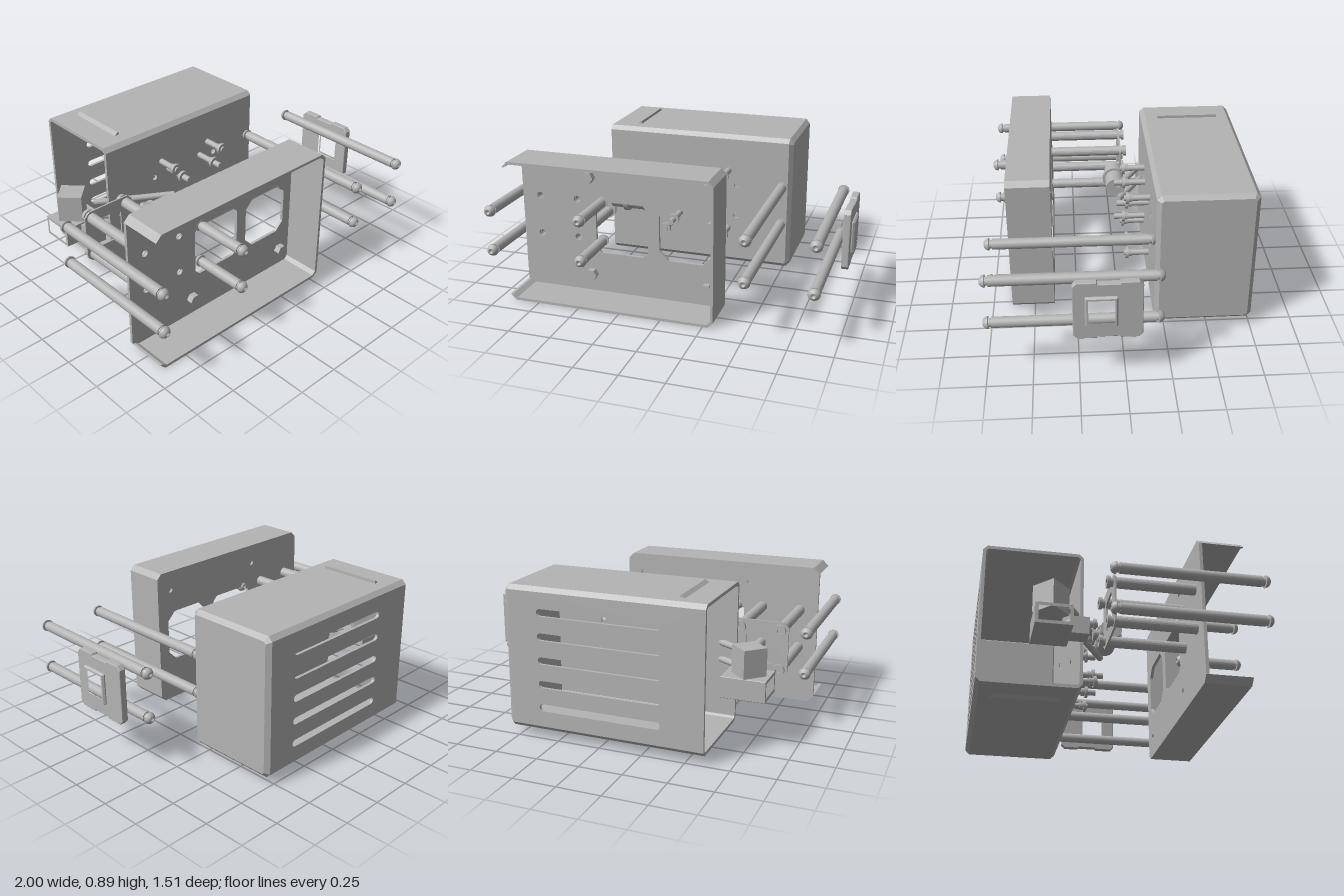
import * as THREE from 'three';

export function createModel() {
  const model = new THREE.Group();
  model.name = 'explodedEnclosure';
  const gray = new THREE.MeshStandardMaterial({ color: 0xb4b4b4 });
  gray.name = 'plain gray';

  const add = (name, geo, parent = model) => {
    const m = new THREE.Mesh(geo, gray);
    m.name = name;
    parent.add(m);
    return m;
  };
  const group = (name) => {
    const g = new THREE.Group();
    g.name = name;
    model.add(g);
    return g;
  };
  const V = (pts) => pts.map(([x, y]) => new THREE.Vector2(x, y));
  const poly = (pts) => new THREE.Shape(V(pts));

  // rectangle with cut corners
  const cutRect = (x0, x1, y0, y1, c) => [
    [x0 + c, y0], [x1 - c, y0], [x1, y0 + c], [x1, y1 - c],
    [x1 - c, y1], [x0 + c, y1], [x0, y1 - c], [x0, y0 + c]];
  const circle = (x, y, r, n = 20) => Array.from({ length: n }, (_, i) => {
    const a = i / n * Math.PI * 2;
    return [x + r * Math.cos(a), y + r * Math.sin(a)];
  });
  // horizontal slot with round ends
  const slot = (x0, x1, y, r) => {
    const p = [];
    for (let i = 0; i <= 8; i++) {
      const a = -Math.PI / 2 + i / 8 * Math.PI;
      p.push([x1 - r + r * Math.cos(a), y + r * Math.sin(a)]);
    }
    return p.concat(p.map(([x, yy]) => [x0 + x1 - x, 2 * y - yy]));
  };
  // flat outline extruded along z, with holes
  const slabZ = (pts, z0, z1, holes = []) => {
    const s = poly(pts);
    holes.forEach((h) => s.holes.push(new THREE.Path(V(h))));
    return new THREE.ExtrudeGeometry(s, { depth: z1 - z0, bevelEnabled: false }).translate(0, 0, z0);
  };
  // outline given as (z, y), extruded along x
  const slabX = (pts, x0, x1, holes = [], bevel = null) => {
    const s = poly(pts.map(([z, y]) => [-z, y]));
    holes.forEach((h) => s.holes.push(new THREE.Path(V(h.map(([z, y]) => [-z, y])))));
    return new THREE.ExtrudeGeometry(s, { depth: x1 - x0, bevelEnabled: false, ...bevel })
      .rotateY(Math.PI / 2).translate(x0, 0, 0);
  };
  const rodZ = (x, y, z0, z1, r, n = 24) =>
    new THREE.CylinderGeometry(r, r, z1 - z0, n).rotateX(Math.PI / 2).translate(x, y, (z0 + z1) / 2);
  const rodX = (y, z, x0, x1, r, n = 32) =>
    new THREE.CylinderGeometry(r, r, x1 - x0, n).rotateZ(Math.PI / 2).translate((x0 + x1) / 2, y, z);
  const domeGeo = () => new THREE.LatheGeometry(
    V([[0, 0], [0.034, 0], [0.034, 0.006], [0.028, 0.02], [0.017, 0.029], [0.011, 0.03], [0.009, 0.02], [0, 0.02]]), 24);

  // front tray: rear plate with three walls, open at one end
  const tray = group('frontTray');
  const T = [[-0.93, 0.825], [-0.895, 0.86], [0.28, 0.86], [0.31, 0.83], [0.31, 0.04],
    [0.28, 0.01], [-0.895, 0.01], [-0.93, 0.045]];
  const inner = [[-0.915, 0.045], [-0.888, 0.026], [0.273, 0.026], [0.294, 0.047], [0.294, 0.823],
    [0.273, 0.844], [-0.888, 0.844], [-0.915, 0.825]];
  add('trayWalls', slabZ([...T, ...inner], 0.386, 0.635), tray);
  const hexSpots = [-0.5, 0.21].flatMap((x) => [0.135, 0.74].map((y) => [x, y]));
  const postSpots = [-0.82, -0.585].flatMap((x) => [0.358, 0.593].map((y) => [x, y]));
  add('trayPlate', slabZ(T, 0.384, 0.402, [
    cutRect(-0.47, -0.15, 0.275, 0.595, 0.03), cutRect(-0.08, 0.235, 0.275, 0.595, 0.055),
    ...hexSpots.map(([x, y]) => circle(x, y, 0.016)),
    ...postSpots.map(([x, y]) => circle(x, y, 0.02))]), tray);
  for (const [x, y] of hexSpots) add('hexBoss', slabZ(circle(x, y, 0.035, 6), 0.4, 0.44), tray);

  // standoffs and their linking frame behind the tray
  const stand = group('standoffFrame');
  for (const [x, y] of postSpots) {
    add('standoff', slabZ(circle(x, y, 0.031), -0.06, 0.385, [circle(x, y, 0.018)]), stand);
    add('standoffNeck', rodZ(x, y, -0.09, -0.06, 0.026), stand);
    add('standoffHead', slabZ(circle(x, y, 0.035), -0.103, -0.085, [circle(x, y, 0.015)]), stand);
  }
  add('framePlate', slabZ(cutRect(-0.865, -0.54, 0.315, 0.635, 0.03), -0.068, -0.058,
    [cutRect(-0.785, -0.62, 0.385, 0.565, 0.02)]), stand);

  // long screws with a domed head at each end
  const screw = (x, y, z0, z1) => {
    const g = group('longScrew');
    add('screwShaft', rodZ(x, y, z0 + 0.045, z1 - 0.045, 0.03), g);
    add('screwNeck', rodZ(x, y, z0 + 0.02, z1 - 0.02, 0.024), g);
    add('screwHeadFront', domeGeo().rotateX(Math.PI / 2).translate(x, y, z1 - 0.03), g);
    add('screwHeadBack', domeGeo().rotateX(-Math.PI / 2).translate(x, y, z0 + 0.03), g);
  };
  for (const y of [0.355, 0.592]) {
    screw(-0.97, y, -0.11, 0.752);
    screw(0.505, y, -0.2, 0.752);
    screw(-0.427, y, 0.375, 0.752);
  }
  for (const y of [0.342, 0.608]) screw(0.875, y, -0.208, 0.752);

  // rear housing, open at one end
  const box = group('rearHousing');
  const top = [[-0.755, 0.86], [-0.73, 0.885], [-0.215, 0.885], [-0.19, 0.86],
    [-0.208, 0.855], [-0.222, 0.866], [-0.723, 0.866], [-0.737, 0.855]];
  const flip = (pts) => pts.map(([z, y]) => [z, 0.945 - y]);
  add('housingTop', slabX(top, -0.605, 0.535), box);
  add('housingBottom', slabX(flip(top), -0.605, 0.535), box);
  const panel = [[-0.605, 0.085], [0.535, 0.085], [0.535, 0.86], [-0.605, 0.86]];
  const pinHoles = [-0.26, 0.217].flatMap((x) => [0.372, 0.572].map((y) => circle(x, y, 0.018)));
  add('housingFront', slabZ(panel, -0.208, -0.19, pinHoles), box);
  const vents = [-2, -1, 0, 1, 2].map((i) => slot(-0.36, 0.36, 0.472 + i * 0.137, 0.021));
  add('housingBack', slabZ(panel, -0.755, -0.737, vents), box);
  add('housingEnd', slabX(cutRect(-0.73, -0.215, 0.085, 0.86, 0.012), 0.534, 0.536, [],
    { bevelEnabled: true, bevelSegments: 1, bevelSize: 0.025, bevelThickness: 0.024 }), box);

  // wedge ribs above and below the housing
  for (const s of [1, -1]) {
    const y = s > 0 ? 0.88 : 0.065;
    add('wedgeRib', slabZ([[-0.468, y], [-0.435, y], [-0.435, y + s * 0.022], [-0.442, y + s * 0.022]],
      -0.66, -0.29), box);
  }

  // small bolts on the housing front
  const bolts = group('housingBolts');
  const bolt = (x, y, tip) => {
    add('boltShaft', rodZ(x, y, -0.2, tip, 0.018), bolts);
    add('boltWasher', rodZ(x, y, -0.066, -0.05, 0.035), bolts);
    add('boltNut', rodZ(x, y, -0.09, -0.066, 0.026, 6), bolts);
  };
  for (const x of [-0.205, 0.165]) for (const y of [0.285, 0.662]) bolt(x, y, -0.04);
  for (const x of [-0.15, 0.1]) for (const y of [0.352, 0.592]) bolt(x, y, 0);

  // barrel with collar
  const barrel = group('barrel');
  add('barrelBody', rodX(0.475, -0.018, -0.525, -0.292, 0.06), barrel);
  add('barrelCollar', rodX(0.475, -0.018, -0.443, -0.415, 0.075), barrel);
  add('collarStud', rodZ(-0.429, 0.475, -0.108, -0.06, 0.03), barrel);

  // two slanted rods
  for (const y of [0.422, 0.52]) {
    const path = new THREE.LineCurve3(new THREE.Vector3(-0.65, y, -0.28), new THREE.Vector3(-0.245, y, -0.032));
    const g = new THREE.CylinderGeometry(0.019, 0.019, path.getLength(), 20);
    const rod = add('slantedRod', g);
    rod.position.copy(path.getPoint(0.5));
    rod.quaternion.setFromUnitVectors(new THREE.Vector3(0, 1, 0), path.getTangent(0));
  }

  // connector block: hollow sleeve, side stub and turned cube
  const conn = group('connectorBlock');
  add('sleeve', slabX(cutRect(-0.48, -0.28, 0.3, 0.42, 0.002), -0.85, -0.6,
    [cutRect(-0.462, -0.298, 0.318, 0.402, 0.002)]), conn);
  add('sideStub', new THREE.BoxGeometry(0.1, 0.1, 0.1).translate(-0.7, 0.36, -0.23), conn);
  add('turnedCube', new THREE.BoxGeometry(0.14, 0.16, 0.14).rotateY(Math.PI / 4).translate(-0.73, 0.5, -0.385), conn);

  // side cover with a raised square window
  const cover = group('sideCover');
  const win = cutRect(0.055, 0.205, 0.39, 0.553, 0.002);
  add('coverPlate', slabX([[-0.065, 0.297], [0.03, 0.297], [0.035, 0.305], [0.15, 0.305], [0.155, 0.297],
    [0.258, 0.297], [0.28, 0.319], [0.28, 0.625], [0.258, 0.647], [0.155, 0.647], [0.15, 0.637],
    [0.035, 0.637], [0.03, 0.647], [-0.065, 0.647], [-0.087, 0.625], [-0.087, 0.319]],
    0.951, 0.977, [win], { bevelEnabled: true, bevelSegments: 3, bevelSize: 0.004, bevelThickness: 0.007, bevelOffset: -0.004 }), cover);
  add('windowFrame', slabX(cutRect(0.045, 0.215, 0.38, 0.563, 0.004), 0.975, 0.99, [win],
    { bevelEnabled: true, bevelSegments: 1, bevelSize: 0.008, bevelThickness: 0.01, bevelOffset: -0.006 }), cover);

  return model;
}
